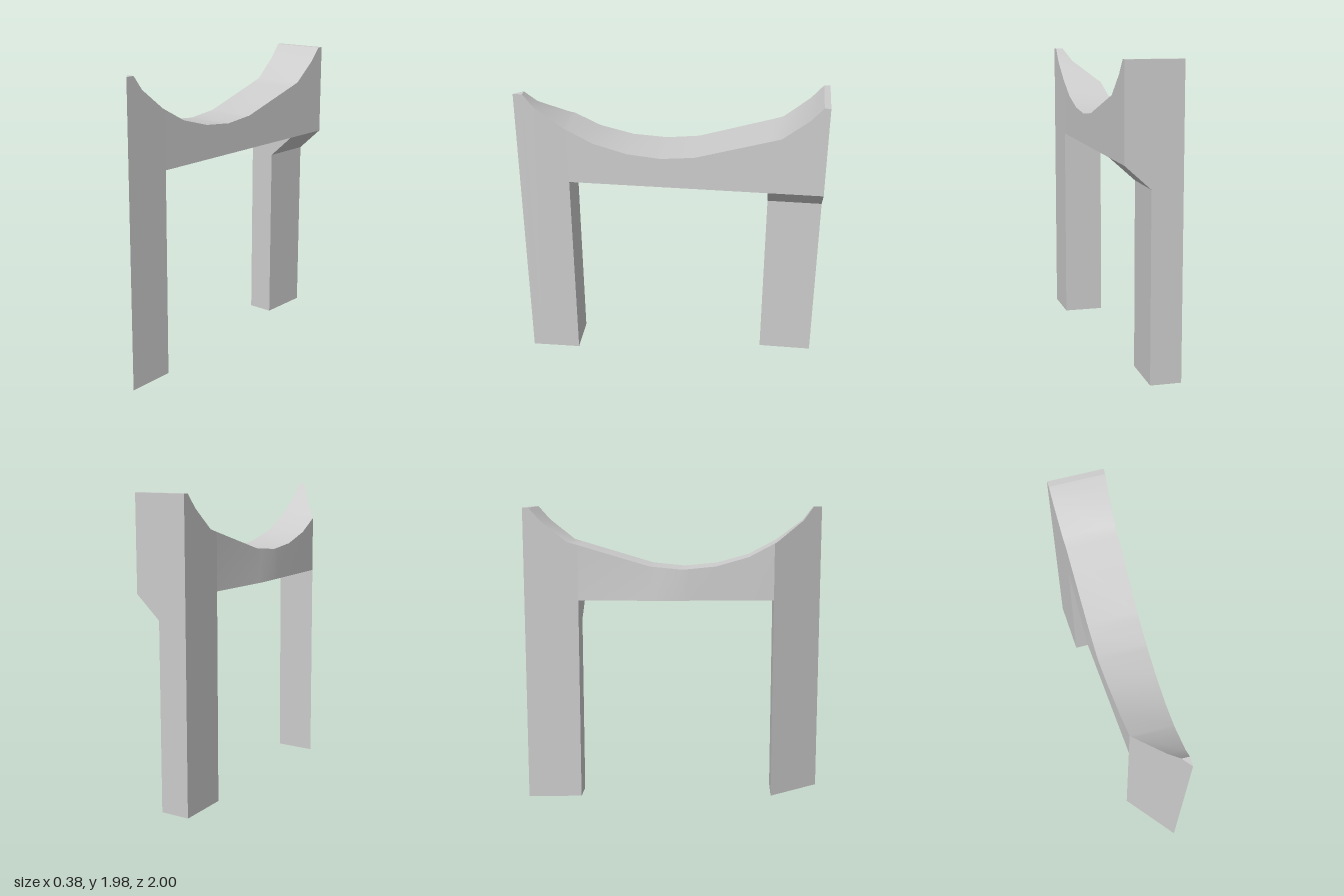
import * as THREE from 'three';
import { toCreasedNormals } from 'three/addons/utils/BufferGeometryUtils.js';

// Profiles as [z, value] pairs, running from back to front
const TOP = [[-1, 1.98], [-0.96, 1.98], [-0.88, 1.89], [-0.71, 1.755], [-0.16, 1.593], [0.06, 1.572],
  [0.28, 1.593], [0.5, 1.655], [0.69, 1.755], [0.87, 1.89], [0.94, 1.98], [1, 1.98]];
const SIDE_UPPER = [[-1, -0.19], [-0.64, -0.165], [0.1, -0.143], [0.67, -0.093], [1, 0.187]];
const SIDE_LOWER = [[-1, -0.19], [-0.64, -0.165], [-0.1, -0.165], [0.67, -0.093], [1, 0.187]];
const FLAT_SIDE = [[-1, 0.177], [0.67, 0.18], [1, 0.187]];
const REAR = -0.64, FRONT = 0.67;      // inner faces of the legs
const SOFFIT = 1.365, BRACKET = 1.215; // underside of the beam, foot of the rear bracket
const LEG_X = 0.01;                    // inset side of the rear leg

function at(profile, z) {
  let i = 1;
  while (i < profile.length - 1 && z > profile[i][0]) i++;
  const [z0, v0] = profile[i - 1], [z1, v1] = profile[i];
  return v0 + (v1 - v0) * (z - z0) / (z1 - z0);
}

// Joins cross-section rings along z, then adds flat end faces
function loft(stations, ringAt, caps) {
  const pos = [];
  const tri = (a, b, c) => {
    const n = b.clone().sub(a).cross(c.clone().sub(a));
    if (n.length() > 1e-8) for (const p of [a, b, c]) pos.push(p.x, p.y, p.z);
  };
  const ring = (points, z) => points.map(([x, y]) => new THREE.Vector3(x, y, z));
  const rings = stations.map((z) => ring(ringAt(z), z));
  for (let s = 0; s < rings.length - 1; s++) {
    const a = rings[s], b = rings[s + 1];
    for (let i = 0; i < a.length; i++) {
      const j = (i + 1) % a.length;
      tri(a[i], b[i], b[j]);
      tri(a[i], b[j], a[j]);
    }
  }
  for (const { z, points, forward } of caps) {
    const r = ring(points, z);
    for (let i = 1; i < r.length - 1; i++) {
      if (forward) tri(r[0], r[i + 1], r[i]);
      else tri(r[0], r[i], r[i + 1]);
    }
  }
  const geometry = new THREE.BufferGeometry();
  geometry.setAttribute('position', new THREE.Float32BufferAttribute(pos, 3));
  return toCreasedNormals(geometry, 0.5);
}

// Rectangular section under the curved top
const section = (bottom) => (z) => [
  [at(SIDE_UPPER, z), at(TOP, z)], [at(FLAT_SIDE, z), at(TOP, z)],
  [at(FLAT_SIDE, z), bottom], [at(SIDE_LOWER, z), bottom],
];

// Section with the bracket sloping in to the narrower rear leg
const rearSection = (z) => [
  [at(SIDE_UPPER, z), at(TOP, z)], [at(FLAT_SIDE, z), at(TOP, z)],
  [at(FLAT_SIDE, z), SOFFIT], [LEG_X, BRACKET], [LEG_X, 0], [at(SIDE_LOWER, z), 0],
];

export function createModel() {
  const group = new THREE.Group();
  const stone = new THREE.MeshStandardMaterial({ color: 0xcccccc });
  stone.name = 'paleGrey';
  const add = (name, geometry) => {
    const mesh = new THREE.Mesh(geometry, stone);
    mesh.name = name;
    group.add(mesh);
  };

  // Rear leg with bracket
  add('rearLeg', loft([-1, -0.96, -0.88, -0.71, REAR], rearSection, [
    { z: -1, points: rearSection(-1) },
    { z: REAR, forward: true, points: [[at(SIDE_LOWER, REAR), SOFFIT], ...rearSection(REAR).slice(2)] },
  ]));

  // Curved beam between the legs
  add('curvedBeam', loft([REAR, -0.16, -0.1, 0.06, 0.1, 0.28, 0.5, FRONT], section(SOFFIT), []));

  // Wedge-shaped front leg
  const x0 = at(SIDE_LOWER, FRONT), x1 = at(FLAT_SIDE, FRONT);
  add('frontLeg', loft([FRONT, 0.69, 0.87, 0.94, 1], section(0), [
    { z: FRONT, points: [[x0, SOFFIT], [x1, SOFFIT], [x1, 0], [x0, 0]] },
  ]));

  return group;
}
